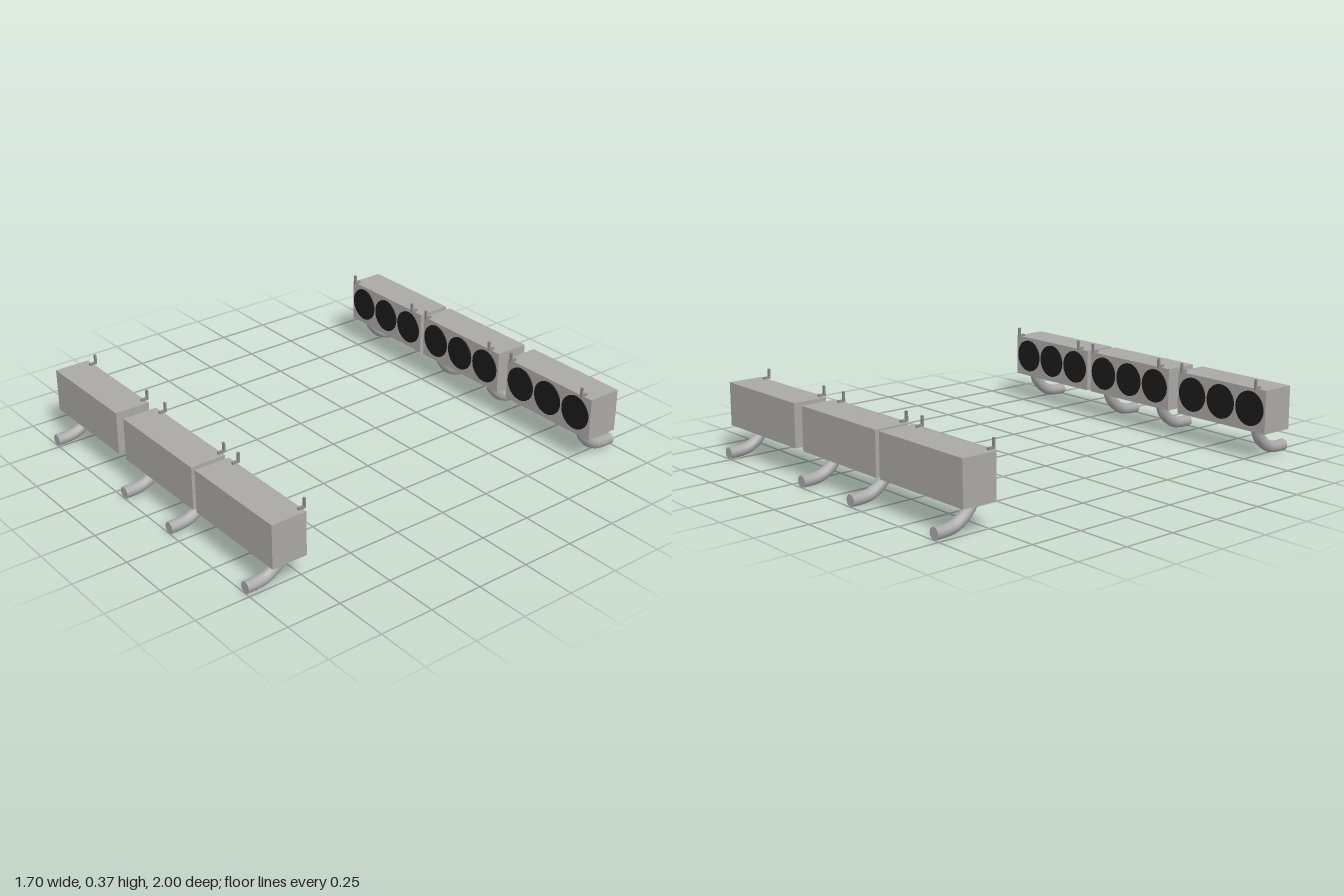
import * as THREE from 'three';

export function createModel() {
  const model = new THREE.Group();
  const material = (name, color, side = THREE.FrontSide) =>
    Object.assign(new THREE.MeshStandardMaterial({ color, side }), { name });
  const casing = material('casing grey', 0xaaa8a6);
  const pipeGrey = material('pipe grey', 0xa8a8a8);
  const tabGrey = material('bracket grey', 0x8c8c8c);
  const black = material('vent black', 0x1a1a1a);

  const add = (parent, name, geometry, mat, x, y, z) => {
    const mesh = new THREE.Mesh(geometry, mat);
    mesh.name = name;
    mesh.position.set(x, y, z);
    parent.add(mesh);
    return mesh;
  };

  // Shared part shapes
  const boxGeo = new THREE.BoxGeometry(0.525, 0.2, 0.165);
  const ventGeo = new THREE.CylinderGeometry(0.08, 0.08, 0.006, 32).rotateX(Math.PI / 2);
  const footGeo = new THREE.BoxGeometry(0.012, 0.01, 0.035);
  const postGeo = new THREE.BoxGeometry(0.012, 0.045, 0.009);
  const r = 0.027;
  const path = new THREE.CatmullRomCurve3([
    [0.14, 0.806], [0.1, 0.822], [0.06, 0.86], [0.036, 0.905], [0.029, 0.95], [0.028, 0.999],
  ].map(([y, z]) => new THREE.Vector3(0, y, z)));
  const pipeGeo = new THREE.TubeGeometry(path, 20, r, 12);
  const capGeo = new THREE.CircleGeometry(r, 12);

  // One row of three units; vents face the middle of the model
  const makeRow = (name) => {
    const row = new THREE.Group();
    row.name = name;
    const units = [
      { x: -0.5875, tabs: [-0.798, -0.355] },
      { x: -0.0025, tabs: [-0.208, 0.236] },
      { x: 0.5475, tabs: [0.34, 0.783] },
    ];
    for (const { x, tabs } of units) {
      add(row, 'casing', boxGeo, casing, x, 0.23, 0.8475);
      for (const i of [-1, 0, 1]) add(row, 'vent', ventGeo, black, x + i * 0.172, 0.235, 0.763);
      for (const t of tabs) {
        add(row, 'bracketFoot', footGeo, tabGrey, t, 0.335, 0.7675);
        add(row, 'bracketPost', postGeo, tabGrey, t, 0.3525, 0.7545);
      }
    }
    // Curved pipes beneath the casings
    for (const x of [-0.768, -0.18, 0.175, 0.72]) {
      add(row, 'pipe', pipeGeo, pipeGrey, x, 0, 0);
      add(row, 'pipeEnd', capGeo, pipeGrey, x, 0.028, 0.999);
    }
    model.add(row);
    return row;
  };

  makeRow('frontRow');
  makeRow('backRow').rotation.y = Math.PI;
  return model;
}
